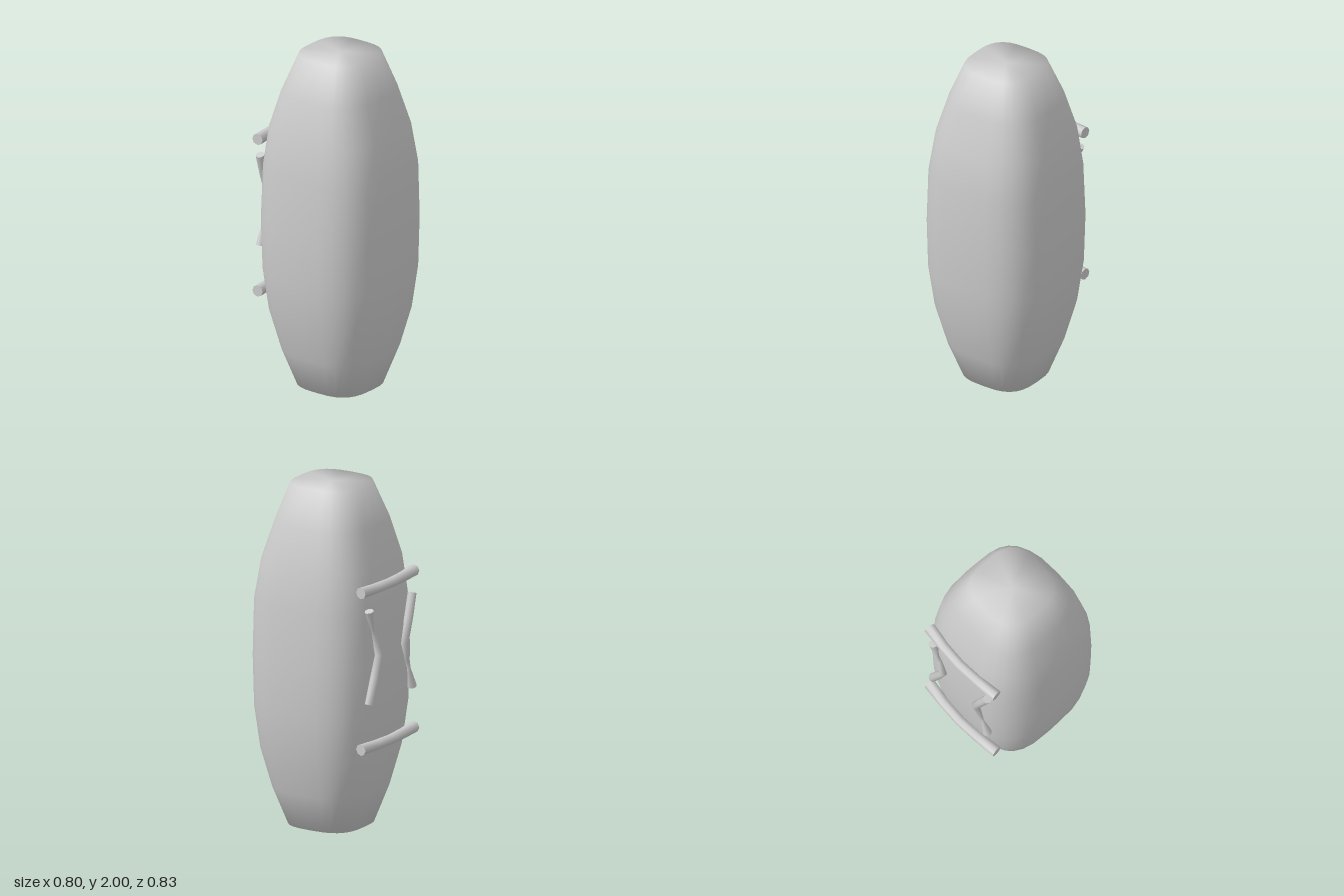
import * as THREE from 'three';

const V = (x, y, z) => new THREE.Vector3(x, y, z);
const material = new THREE.MeshStandardMaterial({ color: 0xcccccc });

// Skin a closed solid over equal-sized rings; sharp caps get their own vertices
function loft(rings, sharpCaps) {
  const n = rings[0].length, last = rings.length - 1;
  const points = rings.flat(), index = [];
  for (let i = 0; i < last; i++) {
    for (let j = 0; j < n; j++) {
      const a = i * n + j, b = i * n + (j + 1) % n;
      index.push(a, a + n, b, b, a + n, b + n);
    }
  }
  [0, last].forEach((row, end) => {
    let start = row * n;
    if (sharpCaps) {
      start = points.length;
      points.push(...rings[row]);
    }
    const centre = points.length;
    points.push(rings[row].reduce((s, p) => s.add(p), V(0, 0, 0)).divideScalar(n));
    for (let j = 0; j < n; j++) {
      const a = start + j, b = start + (j + 1) % n;
      if (end) index.push(centre, b, a);
      else index.push(centre, a, b);
    }
  });
  const geometry = new THREE.BufferGeometry().setFromPoints(points);
  geometry.setIndex(index);
  geometry.computeVertexNormals();
  return geometry;
}

// Bar of varying radius swept along a bent path
function bar(path, radii, sides = 8) {
  const rings = path.map((p, i) => {
    const t = path[Math.min(i + 1, path.length - 1)].clone()
      .sub(path[Math.max(i - 1, 0)]).normalize();
    const u = V(0, 0, -1).addScaledVector(t, t.z).normalize();
    const v = u.clone().cross(t);
    return Array.from({ length: sides }, (_, j) => {
      const a = (j / sides) * Math.PI * 2;
      return p.clone().addScaledVector(u, radii[i] * Math.cos(a))
        .addScaledVector(v, radii[i] * Math.sin(a));
    });
  });
  return loft(rings, true);
}

export function createModel() {
  const model = new THREE.Group();
  const add = (name, geometry) => {
    const mesh = new THREE.Mesh(geometry, material);
    mesh.name = name;
    model.add(mesh);
  };

  // Barrel body: rounded-square sections [y, half width, front z, back z]
  const sections = [
    [0, 0.22, 0.235, -0.205], [0.22, 0.3, 0.315, -0.285], [0.45, 0.36, 0.375, -0.345],
    [0.7, 0.395, 0.405, -0.375], [1, 0.402, 0.413, -0.385], [1.33, 0.39, 0.408, -0.375],
    [1.56, 0.36, 0.37, -0.345], [1.78, 0.3, 0.3, -0.28], [2, 0.212, 0.222, -0.195],
  ];
  const soften = (c) => Math.sign(c) * Math.abs(c) ** (2 / 3);
  add('body', loft(sections.map(([y, w, front, back]) =>
    Array.from({ length: 28 }, (_, j) => {
      const a = (j / 28) * Math.PI * 2;
      return V(w * soften(Math.cos(a)), y,
        (front + back) / 2 + ((front - back) / 2) * soften(Math.sin(a)));
    })), false));

  // Two bowed crossbars on the back
  for (const [name, y] of [['lowerCrossbar', 0.545], ['upperCrossbar', 1.465]]) {
    const path = [[-0.278, -0.36], [-0.14, -0.377], [0, -0.385], [0.14, -0.377], [0.278, -0.36]]
      .map(([x, z]) => V(x, y, z));
    add(name, bar(path, [0.034, 0.031, 0.03, 0.031, 0.034]));
  }

  // Two bent brackets, each the other turned half round, with one pinched arm
  const bracket = [[0.225, -0.275, -0.382], [0.18, -0.14, -0.387], [0.135, 0, -0.388],
    [0.17, 0.11, -0.385], [0.188, 0.16, -0.384], [0.225, 0.275, -0.382]];
  for (const [name, s] of [['leftBracket', 1], ['rightBracket', -1]]) {
    const path = bracket.map(([x, y, z]) => V(s * x, 1.075 + s * y, z));
    add(name, bar(path, [0.026, 0.026, 0.024, 0.014, 0.01, 0.027]));
  }

  return model;
}
